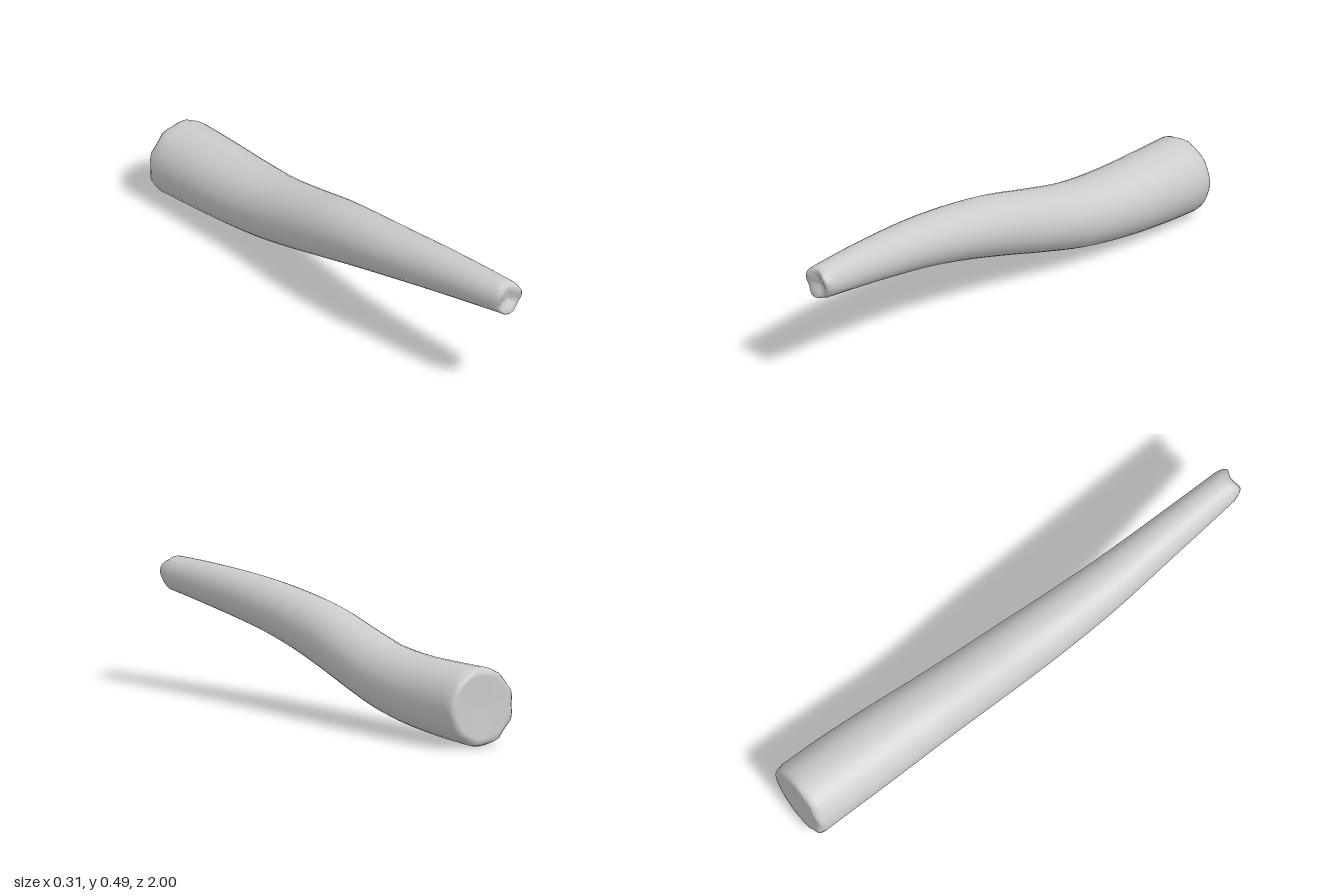
import * as THREE from 'three';

// Stations along the limb: z, left x, right x, bottom y, top y
const STATIONS = [
  [0.96, 0.007, 0.135, 0.36, 0.49],
  [0.8, -0.02, 0.126, 0.335, 0.487],
  [0.6, -0.052, 0.116, 0.302, 0.478],
  [0.4, -0.083, 0.11, 0.266, 0.462],
  [0.2, -0.102, 0.112, 0.222, 0.44],
  [0, -0.111, 0.12, 0.17, 0.41],
  [-0.2, -0.113, 0.131, 0.115, 0.364],
  [-0.4, -0.116, 0.143, 0.066, 0.323],
  [-0.6, -0.128, 0.151, 0.035, 0.306],
  [-0.8, -0.142, 0.15, 0.015, 0.303],
  [-0.96, -0.154, 0.142, 0.004, 0.302],
];
const SIDES = 32;

// Smooth interpolation of one station column
function column(k, t) {
  const f = t * (STATIONS.length - 1);
  const i = Math.min(Math.floor(f), STATIONS.length - 2);
  const at = (n) => STATIONS[Math.max(0, Math.min(STATIONS.length - 1, n))][k];
  const u = f - i;
  const [a, b, c, d] = [at(i - 1), at(i), at(i + 1), at(i + 2)];
  const m0 = (c - a) / 2, m1 = (d - b) / 2;
  return b + u * (m0 + u * (3 * (c - b) - 2 * m0 - m1 + u * (2 * (b - c) + m0 + m1)));
}

function ringAt(t, scale = 1, dz = 0, ripple = () => 0) {
  const [z, l, r, b, top] = [0, 1, 2, 3, 4].map((k) => column(k, t));
  const ring = [];
  for (let j = 0; j <= SIDES; j++) {
    const a = ((j % SIDES) / SIDES) * Math.PI * 2;
    const x = Math.cos(a), y = Math.sin(a);
    const s = scale * (1 + ripple(a));
    ring.push([
      (l + r) / 2 + ((r - l) / 2) * x * s,
      (b + top) / 2 + ((top - b) / 2) * y * s,
      z + dz * (1 + (dz < 0 ? 0.25 * x : 0.25 * Math.sin(3 * a)) * scale),
    ]);
  }
  return ring;
}

function loft(rings) {
  const n = SIDES + 1, index = [];
  for (let i = 0; i < rings.length - 1; i++) {
    for (let j = 0; j < SIDES; j++) {
      const a = i * n + j, b = a + 1, c = a + n, d = c + 1;
      index.push(a, c, b, b, c, d);
    }
  }
  const geo = new THREE.BufferGeometry();
  geo.setAttribute('position', new THREE.Float32BufferAttribute(rings.flat(2), 3));
  geo.setIndex(index);
  geo.computeVertexNormals();
  // Join the shading across the seam
  const nor = geo.attributes.normal, v = new THREE.Vector3(), w = new THREE.Vector3();
  for (let i = 0; i < rings.length; i++) {
    v.fromBufferAttribute(nor, i * n).add(w.fromBufferAttribute(nor, i * n + SIDES)).normalize();
    nor.setXYZ(i * n, v.x, v.y, v.z);
    nor.setXYZ(i * n + SIDES, v.x, v.y, v.z);
  }
  return geo;
}

export function createModel() {
  const group = new THREE.Group();
  group.name = 'limb';
  const material = new THREE.MeshStandardMaterial({ color: 0xcccccc, side: THREE.DoubleSide });

  // Long tapering body
  const body = [];
  const steps = 40;
  for (let i = 0; i <= steps; i++) body.push(ringAt(i / steps));

  // Uneven narrow end, closing inward
  const tipFold = (a) => -0.05 + 0.05 * Math.cos(3 * a - 0.6);
  const tip = [
    ringAt(0, 0, 0.014),
    ringAt(0, 0.45, 0.02),
    ringAt(0, 0.8, 0.032, tipFold),
    ringAt(0, 0.95, 0.022, tipFold),
  ];

  // Puckered wide end, with folds mostly on the -x side
  const fold = (a) => -0.03 + 0.035 * Math.cos(9 * a) * (0.6 - 0.4 * Math.cos(a));
  const stump = [
    ringAt(1, 0.99, -0.02, fold),
    ringAt(1, 0.93, -0.032, fold),
    ringAt(1, 0.8, -0.032),
    ringAt(1, 0.4, -0.03),
    ringAt(1, 0, -0.028),
  ];

  const mesh = new THREE.Mesh(loft([...tip, ...body, ...stump]), material);
  mesh.name = 'limbBody';
  group.add(mesh);
  return group;
}
